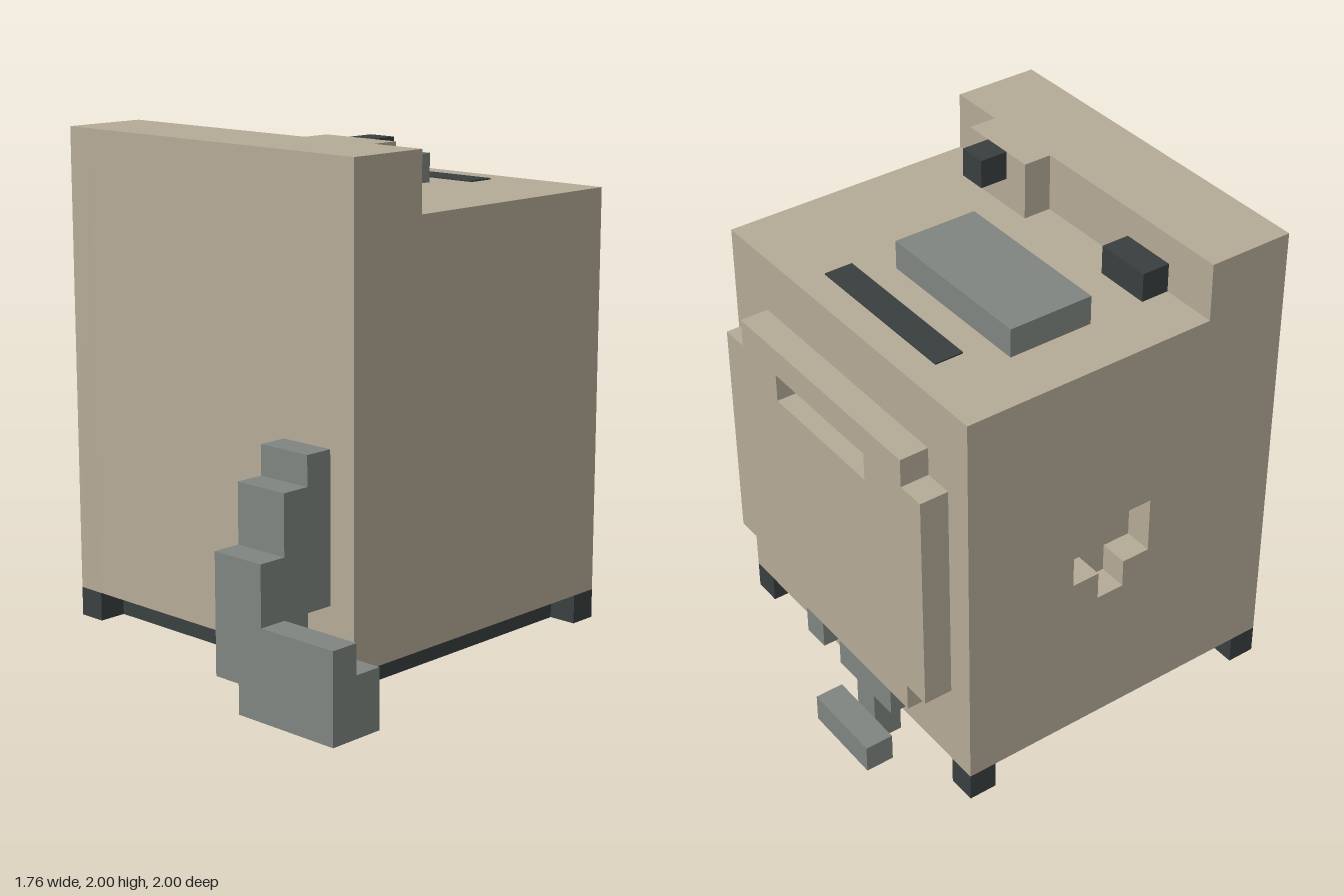
import * as THREE from 'three';

const UNIT = 2 / 17; // one block of the model's grid

export function createModel() {
  const model = new THREE.Group();
  model.name = 'washingMachine';
  const blocks = new THREE.Group();
  blocks.name = 'machine';
  blocks.scale.setScalar(UNIT);
  model.add(blocks);

  const material = (name, color) => {
    const m = new THREE.MeshStandardMaterial({ color });
    m.name = name;
    return m;
  };
  const beige = material('beige casing', 0xb5aa97);
  const grey = material('grey plastic', 0x7f8580);
  const dark = material('dark trim', 0x393f3f);

  const add = (name, geometry, mat) => {
    const mesh = new THREE.Mesh(geometry, mat);
    mesh.name = name;
    blocks.add(mesh);
    return mesh;
  };
  // Box given by its low and high limits on each axis
  const box = (name, mat, [x0, x1], [y0, y1], [z0, z1]) =>
    add(name, new THREE.BoxGeometry(x1 - x0, y1 - y0, z1 - z0), mat)
      .position.set((x0 + x1) / 2, (y0 + y1) / 2, (z0 + z1) / 2);

  const outline = (points, hole) => {
    const toVectors = (list) => list.map(([a, b]) => new THREE.Vector2(a, b));
    const shape = new THREE.Shape(toVectors(points));
    if (hole) shape.holes.push(new THREE.Path(toVectors(hole)));
    return shape;
  };
  // Side profile of [z, y] points, extruded from x0 to x1
  const sideProfile = (name, mat, points, x0, x1, hole) => {
    const flip = (list) => list && list.map(([z, y]) => [-z, y]);
    const geometry = new THREE.ExtrudeGeometry(outline(flip(points), flip(hole)),
      { depth: x1 - x0, bevelEnabled: false });
    geometry.rotateY(Math.PI / 2).translate(x0, 0, 0);
    add(name, geometry, mat);
  };

  // Casing with raised control panel; its right wall has a T-shaped recess
  const casing = [[-6.5, 1], [-6.5, 15], [2.5, 15], [2.5, 17], [5.5, 17], [5.5, 1]];
  const recess = [[-2.5, 9], [0.5, 9], [0.5, 7], [-0.5, 7], [-0.5, 6], [-1.5, 6], [-1.5, 7], [-2.5, 7]];
  sideProfile('casing', beige, casing, -6.5, 5.5);
  sideProfile('rightWall', beige, casing, -7.5, -6.5, recess);
  box('panelBulge', beige, [0.5, 3.5], [15, 17], [1.5, 2.5]);

  // Top details
  box('knob', dark, [1.5, 2.5], [16, 17], [0.5, 1.5]);
  box('switch', dark, [-5.5, -3.5], [15, 16], [1.5, 2.5]);
  box('topTray', grey, [-5.5, 0.5], [15, 16], [-3.5, -0.5]);
  box('topVent', dark, [-4.5, 1.5], [15, 15.05], [-5.5, -4.5]);

  // Base slab and four corner feet
  box('base', dark, [-6.5, 4.5], [0, 1], [-5.5, 4.5]);
  for (const x of [-7.5, 4.5]) {
    for (const z of [-6.5, 4.5]) box('foot', dark, [x, x + 1], [0, 1], [z, z + 1]);
  }

  // Back plate with notched corners and a slot
  const plate = outline(
    [[-5.5, 3], [3.5, 3], [3.5, 4], [4.5, 4], [4.5, 12], [3.5, 12],
      [3.5, 13], [-5.5, 13], [-5.5, 12], [-6.5, 12], [-6.5, 4], [-5.5, 4]],
    [[-3.5, 11], [-3.5, 12], [1.5, 12], [1.5, 11]]);
  add('backPlate', new THREE.ExtrudeGeometry(plate, { depth: 1, bevelEnabled: false }), beige)
    .position.z = -7.5;

  // Back fittings below the plate
  box('backPeg', grey, [-0.5, 0.5], [2, 3], [-7.5, -6.5]);
  box('backBar', grey, [-4.5, -1.5], [2, 3], [-7.5, -6.5]);
  box('pedalStem', grey, [-3.5, -2.5], [0, 2], [-7.5, -6.5]);
  box('pedal', grey, [-4.5, -1.5], [0, 1], [-8.5, -7.5]);

  // Front hose stepping down to the ground and turning to the left
  sideProfile('hose', grey, [[5.5, 3], [5.5, 8], [6.5, 8], [6.5, 7], [7.5, 7], [7.5, 5],
    [8.5, 5], [8.5, 1], [6.5, 1], [6.5, 3]], 2.5, 4.5);
  box('hoseBend', grey, [3.5, 4.5], [0, 1], [6.5, 8.5]);
  sideProfile('hoseEnd', grey, [[6.5, 0], [6.5, 2], [7.5, 2], [7.5, 3], [8.5, 3], [8.5, 0]], 4.5, 7.5);

  return model;
}
